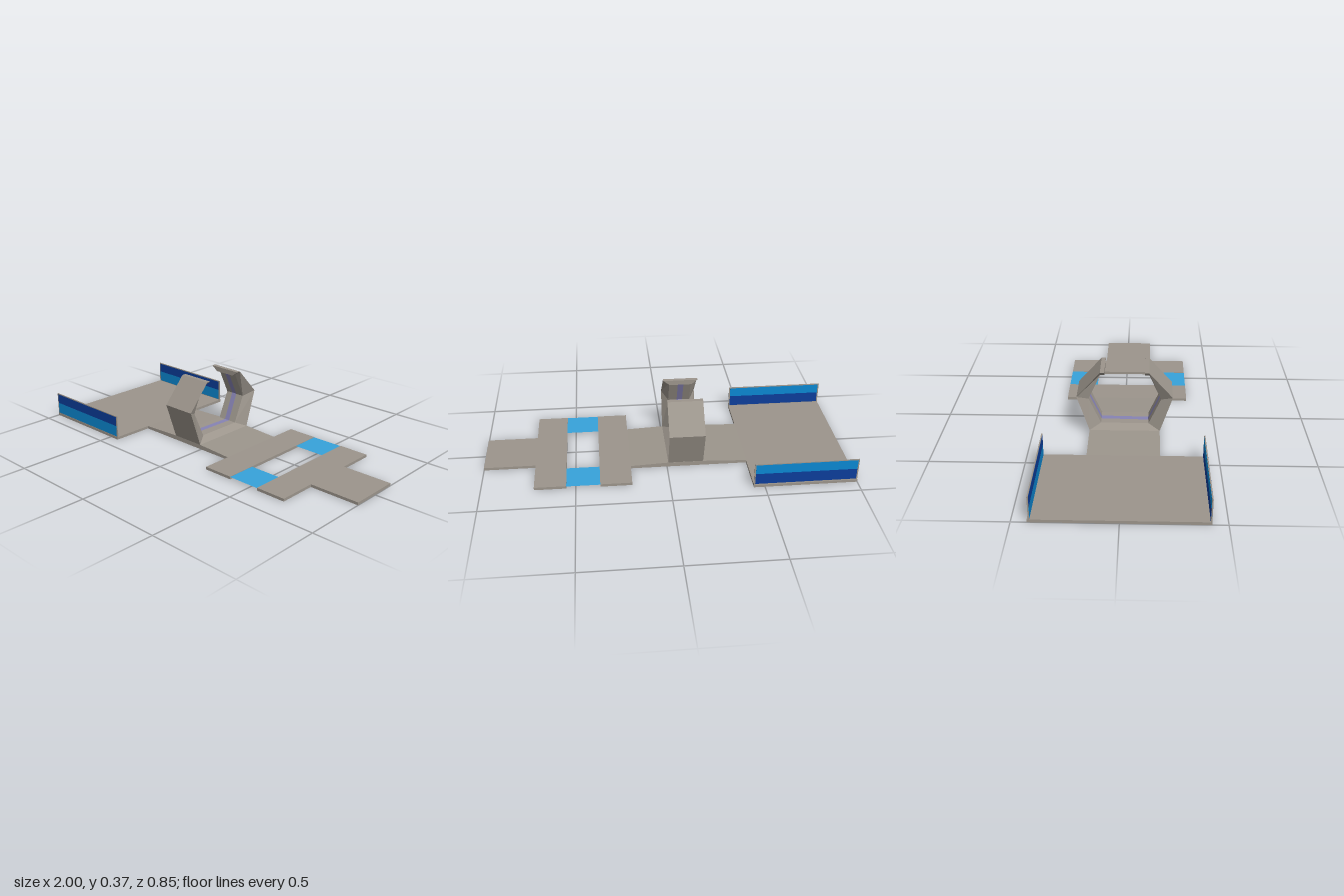
import * as THREE from 'three';

const mat = (name, color, side = THREE.FrontSide) => {
  const m = new THREE.MeshStandardMaterial({ color, side });
  m.name = name;
  return m;
};

// Build a flat-faced geometry from a list of four-cornered faces
function quads(faces) {
  const pos = [];
  for (const [a, b, c, d] of faces) pos.push(...a, ...b, ...d, ...b, ...c, ...d);
  const g = new THREE.BufferGeometry();
  g.setAttribute('position', new THREE.Float32BufferAttribute(pos, 3));
  g.computeVertexNormals();
  return g;
}

export function createModel() {
  const root = new THREE.Group();
  root.name = 'model';
  const grey = mat('warm grey', 0x9c958c, THREE.DoubleSide);
  const sky = mat('sky blue', 0x37a3db, THREE.DoubleSide);
  const blue = mat('mid blue', 0x0b88d3);
  const navy = mat('navy', 0x0c3d9b);
  const violet = mat('violet', 0x8783b4, THREE.DoubleSide);

  const add = (parent, name, geo, material) => {
    const m = new THREE.Mesh(geo, material);
    m.name = name;
    parent.add(m);
    return m;
  };
  // Box given by its two extreme corners
  const box = (parent, name, material, x0, x1, y0, y1, z0, z1) => {
    const m = add(parent, name, new THREE.BoxGeometry(x1 - x0, y1 - y0, z1 - z0), material);
    m.position.set((x0 + x1) / 2, (y0 + y1) / 2, (z0 + z1) / 2);
    return m;
  };
  // Side profile in x and y, extruded across z
  const slab = (name, points, z0, z1) => {
    const shape = new THREE.Shape(points.map(p => new THREE.Vector2(...p)));
    const g = new THREE.ExtrudeGeometry(shape, { depth: z1 - z0, bevelEnabled: false });
    add(root, name, g, grey).position.z = z0;
  };

  // Flat deck plates
  const T = 0.015;
  box(root, 'wideDeck', grey, -1, -0.44, 0, T, -0.424, 0.424);
  box(root, 'innerCrossPlate', grey, 0.2, 0.37, 0, T, -0.343, 0.358);
  box(root, 'outerCrossPlate', grey, 0.55, 0.72, 0, T, -0.343, 0.358);
  box(root, 'tailPlate', grey, 0.72, 1, 0, T, -0.135, 0.146);

  // Neck, rising gently towards the clamp
  const xL = -0.2, xR = -0.007, zF = 0.195, zB = -0.188;
  slab('neckWideSide', [[-0.44, 0], [xL, 0], [xL, 0.025], [-0.44, T]], zB, zF);
  slab('neckTailSide', [[xR, 0], [0.2, 0], [0.2, T], [xR, 0.025]], zB, zF);
  box(root, 'neckRailFront', grey, xL, xR, 0, 0.025, zF - 0.003, zF);
  box(root, 'neckRailBack', grey, xL, xR, 0, 0.025, zB, zB + 0.003);

  // Blue joining sheets between the cross plates
  for (const [z0, z1] of [[-0.343, -0.175], [0.19, 0.358]]) {
    add(root, 'joiningSheet', quads([[
      [0.37, 0.013, z0], [0.37, 0.013, z1], [0.55, 0.013, z1], [0.55, 0.013, z0],
    ]]), sky);
  }

  // Side walls with two painted bands on each face
  for (const z of [-0.415, 0.42]) {
    const wall = new THREE.Group();
    wall.name = 'sideWall';
    root.add(wall);
    box(wall, 'wallPanel', grey, -1, -0.44, T, 0.14, z - 0.003, z + 0.003);
    for (const s of [-1, 1]) {
      const zf = z + s * 0.0034;
      const bands = s > 0 ? [blue, navy] : [navy, blue];
      bands.forEach((m, i) => box(wall, i ? 'upperBand' : 'lowerBand', m, -0.993, -0.447,
        i ? 0.081 : 0.018, i ? 0.135 : 0.081, zf - 0.0005, zf + 0.0005));
    }
  }

  // Open clamp: a trapezoid section, wide outside and narrow inside, lofted
  // along [z, y] points from the front tip down, under and up to the back tip
  const outerHalf = [[0.108, 0.372], [0.131, 0.372], [0.258, 0.228], [0.191, 0.025]];
  const innerHalf = [[0.108, 0.345], [0.131, 0.345], [0.196, 0.2], [0.13, 0.053]];
  const mirror = h => [...h, ...h.map(([z, y]) => [-z, y]).reverse()]
    .map(([z, y]) => [z + 0.004, y]);
  const outer = mirror(outerHalf), inner = mirror(innerHalf);
  const iL = -0.165, iR = -0.043;
  const rings = outer.map(([oz, oy], i) => {
    const [iz, iy] = inner[i];
    return [[xL, oy, oz], [xR, oy, oz], [iR, iy, iz], [iL, iy, iz]];
  });
  const faces = [rings[0], [...rings[7]].reverse()];
  for (let i = 0; i < 7; i++) {
    for (let j = 0; j < 4; j++) {
      if (i === 3 && j === 0) continue; // hollow underside
      const k = (j + 1) % 4;
      faces.push([rings[i][j], rings[i + 1][j], rings[i + 1][k], rings[i][k]]);
    }
  }
  add(root, 'clamp', quads(faces), grey);

  // Violet stripe along the inside of the clamp
  const lift = 0.0015;
  const stripe = inner.slice(1, 7).map(([z, y], i) => [
    z - Math.sign(z) * lift, i === 0 || i === 5 ? y : y + lift,
  ]);
  const shift = [0, 0, -0.004, 0.004, 0, 0];
  const stripeFaces = [];
  for (let i = 0; i < 5; i++) {
    const [z0, y0] = stripe[i], [z1, y1] = stripe[i + 1];
    const a = -0.108 + shift[i], b = -0.108 + shift[i + 1], w = 0.016;
    stripeFaces.push([[a + w, y0, z0], [b + w, y1, z1], [b - w, y1, z1], [a - w, y0, z0]]);
  }
  add(root, 'clampStripe', quads(stripeFaces), violet);

  return root;
}
